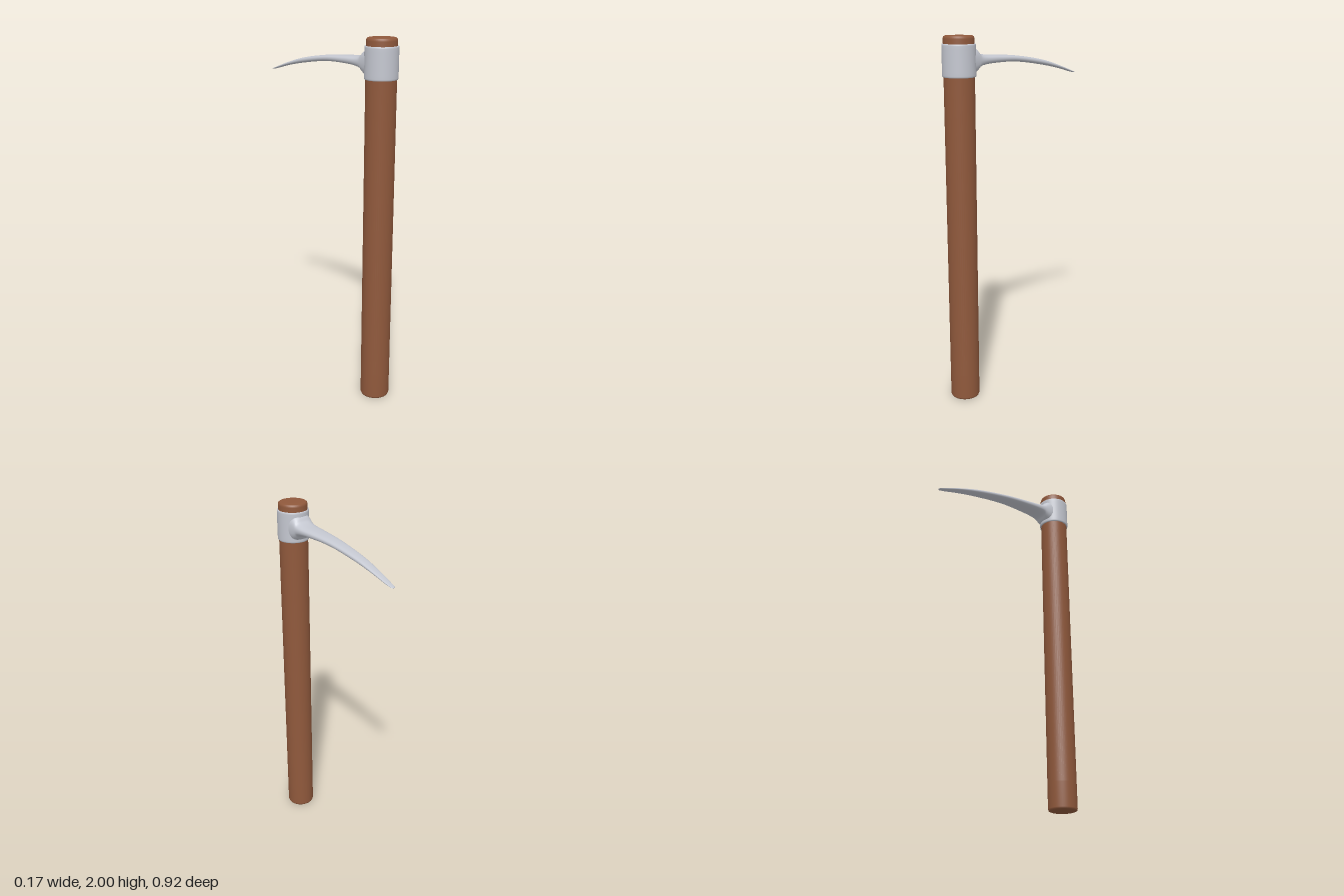
import * as THREE from 'three';

const wood = new THREE.MeshStandardMaterial({ name: 'wood', color: 0x90593c });
const steel = new THREE.MeshStandardMaterial({ name: 'steel', color: 0xc4c7d0 });
const AXIS_Z = 0.375; // handle axis

// Turned part around the handle axis, profile listed as [radius, y]
function turned(name, profile, material) {
  const points = profile.map(([r, y]) => new THREE.Vector2(r, y));
  const mesh = new THREE.Mesh(new THREE.LatheGeometry(points, 48), material);
  mesh.name = name;
  mesh.position.z = AXIS_Z;
  return mesh;
}

// Smooth skin over rounded sections [z, top, bottom, halfWidth], running towards -z
function bladeGeometry(sections, sides = 28, steps = 48) {
  const curve = (pick) => new THREE.CatmullRomCurve3(
    sections.map((s) => new THREE.Vector3(s[0], pick(s), 0)), false, 'centripetal');
  const top = curve((s) => s[1]), bottom = curve((s) => s[2]), width = curve((s) => s[3]);
  const positions = [], index = [];
  const soft = (v) => Math.sign(v) * Math.abs(v) ** 0.8;
  for (let i = 0; i <= steps + 1; i++) {
    const t = Math.min(i / steps, 1);
    const a = top.getPoint(t), b = bottom.getPoint(t), w = width.getPoint(t);
    const scale = i > steps ? 0.01 : 1; // last ring closes the tip
    for (let j = 0; j < sides; j++) {
      const angle = (j / sides) * Math.PI * 2;
      positions.push(
        w.y * scale * soft(Math.cos(angle)),
        (a.y + b.y) / 2 + ((a.y - b.y) / 2) * scale * soft(Math.sin(angle)),
        (a.x + b.x) / 2 - (i > steps ? 0.004 : 0));
      if (i > steps) continue;
      const p = i * sides + j, q = i * sides + ((j + 1) % sides);
      index.push(p, p + sides, q, q, p + sides, q + sides);
    }
  }
  const geometry = new THREE.BufferGeometry();
  geometry.setAttribute('position', new THREE.Float32BufferAttribute(positions, 3));
  geometry.setIndex(index);
  geometry.computeVertexNormals();
  return geometry;
}

export function createModel() {
  const model = new THREE.Group();
  model.name = 'pick';

  // Round wooden shaft with softened ends
  model.add(turned('handle', [
    [0, 0], [0.07, 0], [0.077, 0.003], [0.08, 0.012], [0.08, 0.15],
    [0.08, 1.85], [0.08, 1.985], [0.077, 1.996], [0.07, 2], [0, 2],
  ], wood));

  // Steel sleeve around the shaft
  model.add(turned('collar', [
    [0.078, 1.794], [0.084, 1.794], [0.0865, 1.797], [0.087, 1.803], [0.087, 1.82],
    [0.087, 1.935], [0.087, 1.951], [0.0865, 1.957], [0.084, 1.96], [0.078, 1.96],
  ], steel));

  // Long tapering spike, flared at the collar and drooping to the tip
  const blade = new THREE.Mesh(bladeGeometry([
    [0.335, 1.953, 1.797, 0.071],
    [0.305, 1.947, 1.802, 0.066],
    [0.285, 1.932, 1.816, 0.063],
    [0.268, 1.912, 1.835, 0.061],
    [0.235, 1.902, 1.846, 0.058],
    [0.15, 1.896, 1.853, 0.051],
    [0, 1.885, 1.852, 0.04],
    [-0.2, 1.853, 1.825, 0.03],
    [-0.33, 1.816, 1.799, 0.023],
    [-0.42, 1.785, 1.775, 0.016],
    [-0.456, 1.772, 1.767, 0.011],
  ]), steel);
  blade.name = 'blade';
  model.add(blade);

  return model;
}
